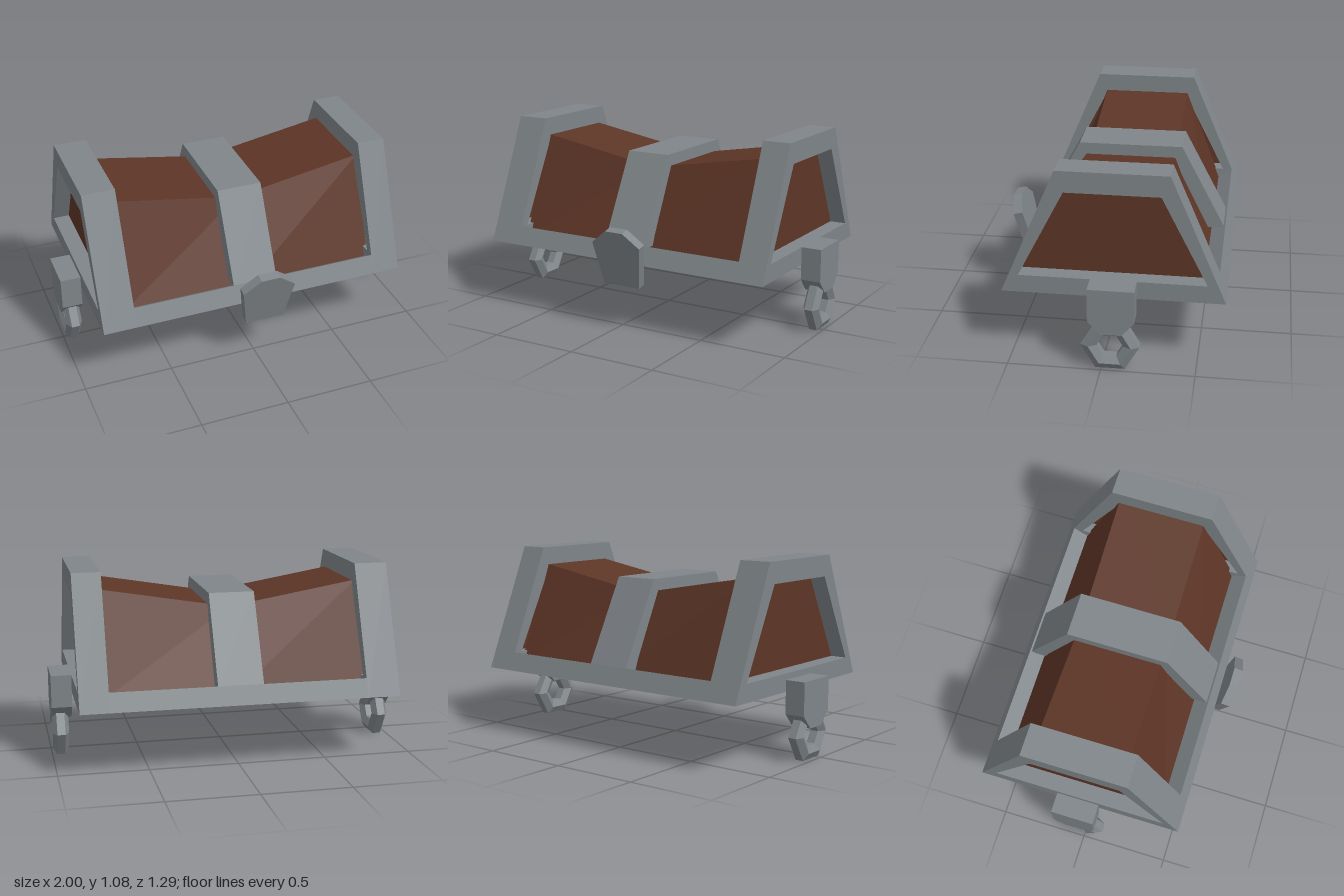
import * as THREE from 'three';

const metal = new THREE.MeshStandardMaterial({ color: 0x7f8589, flatShading: true });
const wood = new THREE.MeshStandardMaterial({ color: 0x5d3526, flatShading: true, side: THREE.DoubleSide });

// Shape drawn in the side plane from [z, y] points
function sideShape(points) {
  return new THREE.Shape(points.map(([z, y]) => new THREE.Vector2(-z, y)));
}

// Extrude a side profile along x from x0 to x1
function sideExtrude(name, points, x0, x1, hole) {
  const shape = sideShape(points);
  if (hole) shape.holes.push(sideShape(hole));
  const geo = new THREE.ExtrudeGeometry(shape, { depth: x1 - x0, bevelEnabled: false });
  geo.rotateY(Math.PI / 2).translate(x0, 0, 0);
  const mesh = new THREE.Mesh(geo, metal);
  mesh.name = name;
  return mesh;
}

// Flat wooden panel across the lid at x
function sidePanel(name, points, x) {
  const mesh = new THREE.Mesh(new THREE.ShapeGeometry(sideShape(points)).rotateY(Math.PI / 2), wood);
  mesh.position.x = x;
  mesh.name = name;
  return mesh;
}

// Wooden shell, open below, joining [x, profile] stations
function woodShell(name, stations) {
  const sections = stations.map(([x, profile]) => profile.map(([z, y]) => [x, y, z]));
  const pos = [];
  for (let s = 0; s < sections.length - 1; s++) {
    for (let i = 0; i < 3; i++) {
      const a = sections[s][i], b = sections[s + 1][i];
      const c = sections[s + 1][i + 1], d = sections[s][i + 1];
      pos.push(...a, ...b, ...c, ...a, ...c, ...d);
    }
  }
  const geo = new THREE.BufferGeometry();
  geo.setAttribute('position', new THREE.Float32BufferAttribute(pos, 3));
  geo.computeVertexNormals();
  const mesh = new THREE.Mesh(geo, wood);
  mesh.name = name;
  return mesh;
}

// Six-sided ring with a six-sided section, turning about the x axis
function handleRing(name, x) {
  const section = [];
  for (let i = 0; i <= 6; i++) {
    const a = Math.PI / 6 + (i * Math.PI) / 3;
    section.push(new THREE.Vector2(0.1135 + 0.05 * Math.cos(a), 0.046 * Math.sin(a)));
  }
  const mesh = new THREE.Mesh(new THREE.LatheGeometry(section, 6).rotateZ(Math.PI / 2), metal);
  mesh.position.set(x, 0.136, -0.047);
  mesh.name = name;
  return mesh;
}

export function createModel() {
  const lid = new THREE.Group();
  lid.name = 'chestLid';

  const outer = [[0.543, 0.376], [-0.643, 0.376], [-0.345, 1.077], [0.245, 1.077]];
  const opening = [[0.45, 0.475], [-0.545, 0.475], [-0.3, 0.96], [0.2, 0.96]];
  const xl = 0.725, xr = -0.7, xEnd = 0.885;

  // End frames and their recessed wooden panels
  lid.add(sideExtrude('leftEndFrame', outer, xl, xEnd, opening));
  lid.add(sideExtrude('rightEndFrame', outer, -xEnd, xr, opening));
  lid.add(sidePanel('leftEndPanel', opening, 0.792));
  lid.add(sidePanel('rightEndPanel', opening, -0.792));

  // Long bottom rails, their top ledges sloping down towards the body
  const rail = [[0.593, 0.376], [0.55, 0.477], [0.463, 0.415], [0.425, 0.48], [0.425, 0.376]];
  lid.add(sideExtrude('frontRail', rail.map(([d, y]) => [d - 0.05, y]), xr, xl));
  lid.add(sideExtrude('backRail', rail.map(([d, y]) => [-0.05 - d, y]).reverse(), xr, xl));

  // Outer body, dipping towards the middle
  const bodyProfile = (top) => [[0.415, 0.415], [0.2, top], [-0.305, top], [-0.52, 0.415]];
  lid.add(woodShell('lidBody', [
    [-0.72, bodyProfile(0.978)], [0.0125, bodyProfile(0.853)], [0.745, bodyProfile(0.978)],
  ]));

  // Straight inner lining with closed ends
  const lining = [[0.375, 0.475], [0.187, 0.835], [-0.287, 0.835], [-0.475, 0.475]];
  lid.add(woodShell('innerLining', [[-0.735, lining], [0.755, lining]]));
  lid.add(sidePanel('leftLiningEnd', lining, 0.755));
  lid.add(sidePanel('rightLiningEnd', lining, -0.735));

  // Middle band arching over the body
  lid.add(sideExtrude('middleBand', [
    [0.498, 0.455], [0.238, 0.94], [-0.343, 0.94], [-0.598, 0.455],
    [-0.5, 0.455], [-0.3, 0.845], [0.2, 0.845], [0.4, 0.455],
  ], -0.12, 0.135));

  // Tilted clasp plate
  const plate = new THREE.Shape([
    [-0.113, 0], [0.113, 0], [0.152, 0.25], [0.055, 0.329], [-0.055, 0.329], [-0.152, 0.25],
  ].map(([x, y]) => new THREE.Vector2(x, y)));
  const clasp = new THREE.Mesh(new THREE.ExtrudeGeometry(plate, { depth: 0.053, bevelEnabled: false }), metal);
  clasp.position.set(0.037, 0.264, 0.516);
  clasp.rotation.x = 0.235;
  clasp.name = 'clasp';
  lid.add(clasp);

  // Handle brackets (the right one sits a little lower) and rings
  const bracket = (drop) => [
    [0.068, 0.475], [0.068, 0.29], [0, 0.215], [-0.11, 0.215], [-0.178, 0.29], [-0.178, 0.475],
  ].map(([z, y]) => [z, y - drop]);
  lid.add(sideExtrude('leftHandleBracket', bracket(0), xEnd, 1));
  lid.add(sideExtrude('rightHandleBracket', bracket(0.035), -1, -xEnd));
  lid.add(handleRing('leftHandleRing', 0.951));
  lid.add(handleRing('rightHandleRing', -0.943));

  return lid;
}
